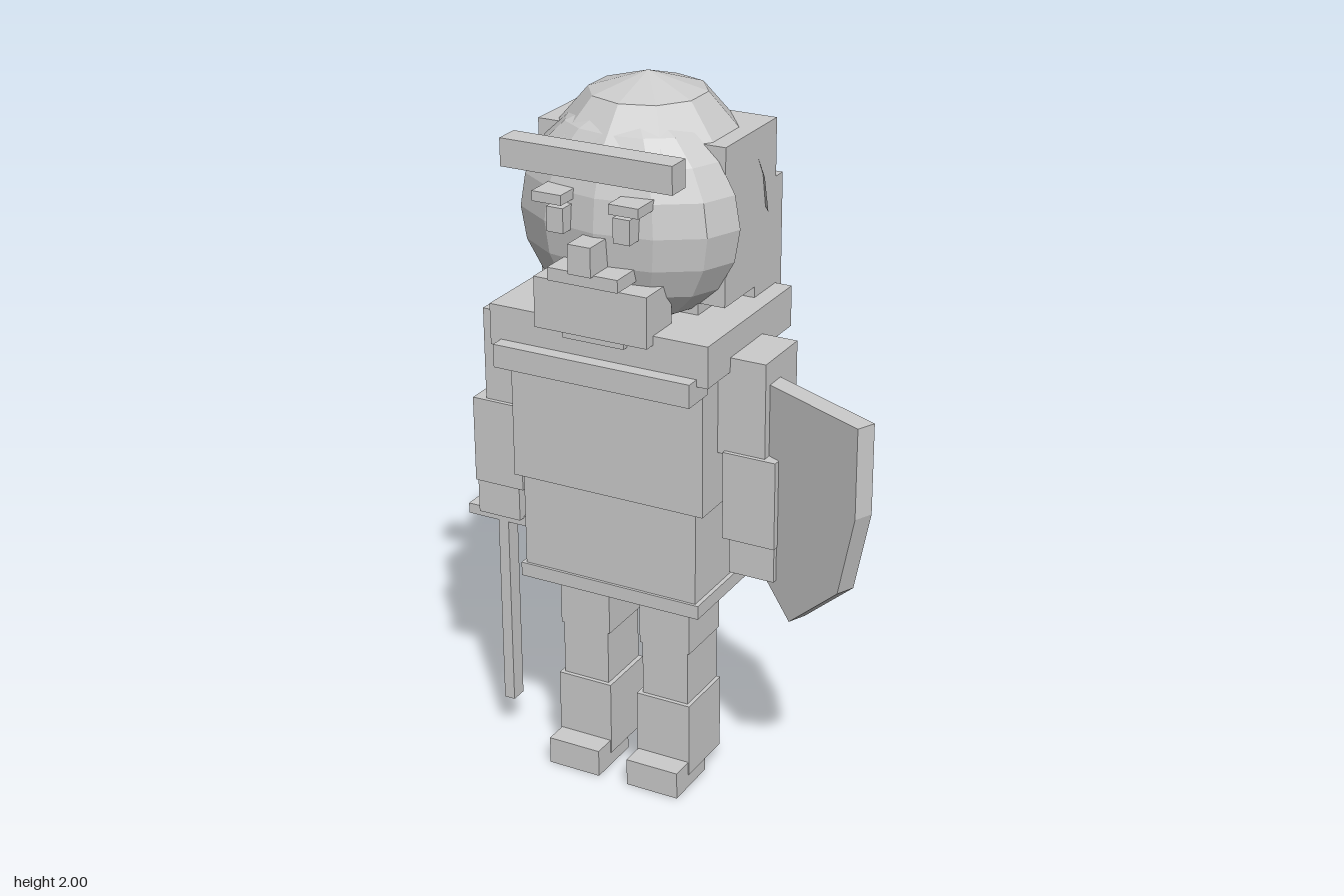
import * as THREE from 'three';

export function createModel() {
  const root = new THREE.Group();
  root.name = 'blockKnight';
  const grey = new THREE.MeshStandardMaterial({ color: 0xcccccc, flatShading: true, side: THREE.DoubleSide });
  grey.name = 'plain grey';
  const CX = -0.13; // body centre line

  function add(name, geometry, parent = root) {
    const mesh = new THREE.Mesh(geometry, grey);
    mesh.name = name;
    parent.add(mesh);
    return mesh;
  }
  // Box from its lower and upper limits on each axis
  function block(name, x0, x1, y0, y1, z0, z1, parent = root) {
    const mesh = add(name, new THREE.BoxGeometry(x1 - x0, y1 - y0, z1 - z0), parent);
    mesh.position.set((x0 + x1) / 2, (y0 + y1) / 2, (z0 + z1) / 2);
    return mesh;
  }
  // Box centred on the body centre line
  const mid = (name, half, y0, y1, z0, z1, parent) =>
    block(name, CX - half, CX + half, y0, y1, z0, z1, parent);
  // Pair of boxes mirrored about the centre line, a..b being distances from it
  function pair(name, a, b, y0, y1, z0, z1, parent) {
    block(name + 'Left', CX + a, CX + b, y0, y1, z0, z1, parent);
    block(name + 'Right', CX - b, CX - a, y0, y1, z0, z1, parent);
  }

  // Legs
  pair('foot', 0.045, 0.204, 0, 0.08, 0.04, 0.21);
  pair('shin', 0.042, 0.207, 0.04, 0.26, -0.045, 0.142);
  pair('knee', 0.055, 0.196, 0.25, 0.42, -0.043, 0.13);
  pair('thigh', 0.048, 0.202, 0.42, 0.62, -0.045, 0.133);

  // Torso
  mid('hem', 0.274, 0.59, 0.63, -0.135, 0.22);
  mid('skirt', 0.262, 0.62, 0.895, -0.13, 0.212);
  mid('chest', 0.287, 0.895, 1.3, -0.14, 0.22);
  mid('collarStrip', 0.29, 1.24, 1.305, 0.2, 0.3);
  mid('collar', 0.322, 1.285, 1.4, -0.225, 0.26);

  // Arms
  pair('upperArm', 0.28, 0.424, 1.05, 1.325, -0.05, 0.135);
  pair('forearm', 0.308, 0.46, 0.81, 1.06, -0.027, 0.147);
  pair('hand', 0.325, 0.457, 0.71, 0.82, 0.02, 0.14);

  // Sword
  block('swordGuard', -0.635, -0.41, 0.685, 0.715, 0.065, 0.12);
  block('swordBlade', -0.54, -0.508, 0.11, 0.69, 0.068, 0.117);

  // Shield
  const outline = [[-0.25, 1.26], [-0.25, 1.01], [-0.19, 0.775], [0, 0.61],
    [0.19, 0.775], [0.25, 1.01], [0.25, 1.26]];
  const shieldGeo = new THREE.ExtrudeGeometry(
    new THREE.Shape(outline.map(([x, y]) => new THREE.Vector2(x, y))),
    { depth: 0.055, bevelEnabled: false });
  shieldGeo.translate(0, 0, -0.0275);
  const shield = add('shield', shieldGeo);
  shield.position.set(0.39, 0, 0.124);
  shield.rotation.y = -THREE.MathUtils.degToRad(25);

  // Head
  const head = new THREE.Group();
  head.name = 'head';
  root.add(head);
  mid('neck', 0.2, 1.38, 1.45, -0.1, 0.08, head);
  mid('skull', 0.273, 1.43, 1.86, -0.22, 0.072, head);
  mid('neckGuard', 0.273, 1.365, 1.7, -0.26, -0.1, head);

  // Front half of a faceted ball for the face
  const face = add('face', new THREE.SphereGeometry(1, 6, 10, 0, Math.PI), head);
  face.scale.set(0.315, 0.29, 0.2);
  face.position.set(CX, 1.65, 0.07);

  // Full cap on top, lower band only round the back
  const deg = Math.PI / 180;
  const cap = new THREE.SphereGeometry(1, 10, 2, 18 * deg, 360 * deg, 0, 60 * deg);
  const band = new THREE.SphereGeometry(1, 4, 1, 198 * deg, 144 * deg, 60 * deg, 30 * deg);
  [['domeCap', cap], ['domeBack', band]].forEach(([name, geo]) => {
    const part = add(name, geo, head);
    part.scale.set(0.315, 0.365, 0.315);
    part.position.set(CX, 1.635, -0.025);
  });

  // Face details
  mid('brim', 0.246, 1.8, 1.875, 0.235, 0.305, head);
  pair('eyebrow', 0.068, 0.153, 1.725, 1.752, 0.2, 0.31, head);
  pair('eye', 0.072, 0.12, 1.645, 1.712, 0.2, 0.295, head);
  mid('nose', 0.033, 1.56, 1.64, 0.24, 0.342, head);
  mid('mouth', 0.102, 1.527, 1.562, 0.22, 0.328, head);
  mid('beard', 0.165, 1.375, 1.515, 0.16, 0.293, head);
  mid('beardTip', 0.09, 1.355, 1.39, 0.19, 0.28, head);

  return root;
}
